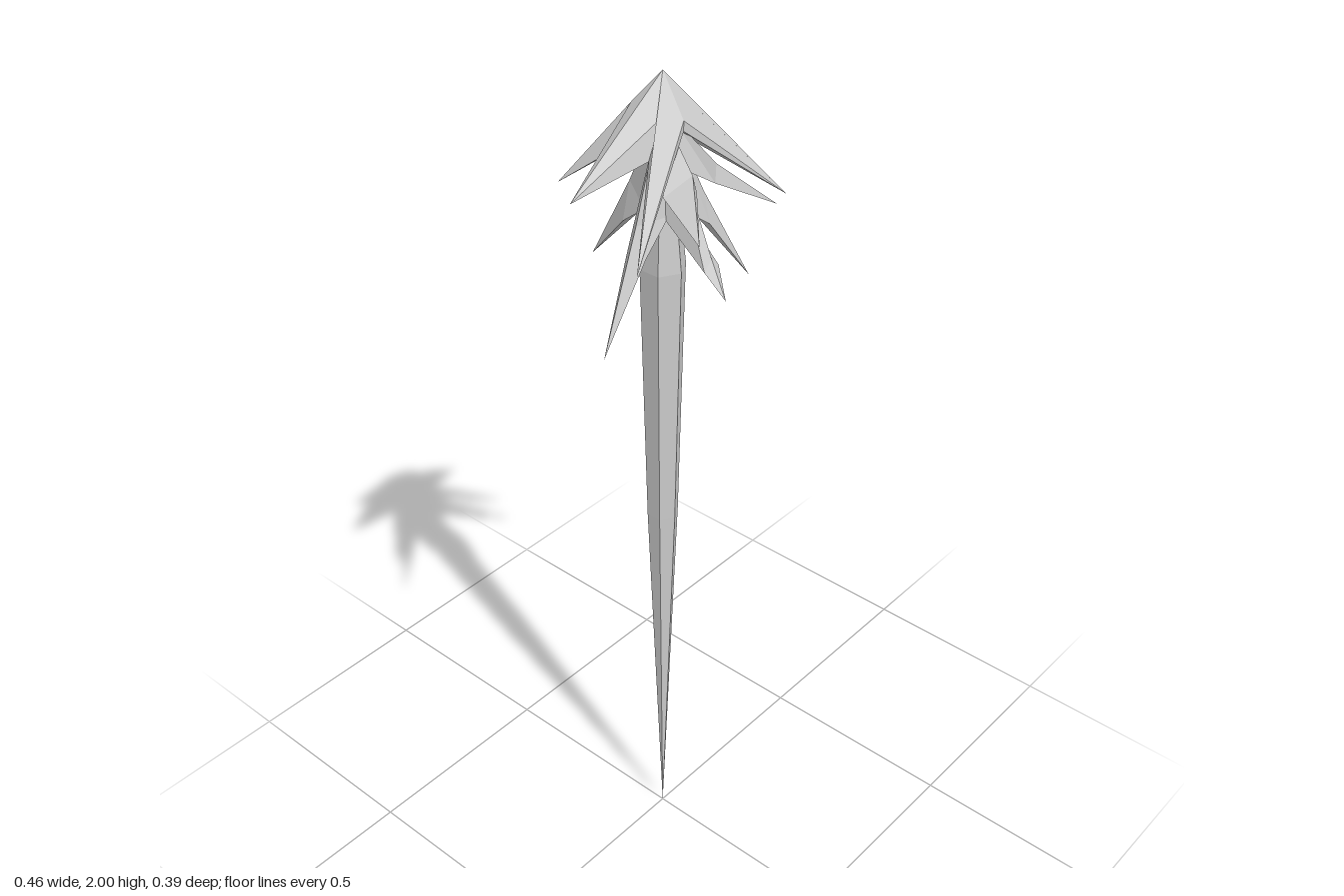
import * as THREE from 'three';

const material = new THREE.MeshStandardMaterial({ color: 0xcccccc, flatShading: true, side: THREE.DoubleSide });

function facetedMesh(name, triangles) {
  const g = new THREE.BufferGeometry().setFromPoints(triangles);
  g.computeVertexNormals();
  const mesh = new THREE.Mesh(g, material);
  mesh.name = name;
  return mesh;
}

const V = (x, y, z) => new THREE.Vector3(x, y, z);

// Six-pointed drooping cap: apex, ring of tips and notches, hollow underside
function crownCap() {
  // notch, tip, notch, tip ... from front to back along +x
  const half = [
    V(0, 1.912, 0.053), V(0.228, 1.70, 0.135), V(0.045, 1.927, 0.035), V(0.222, 1.79, -0.04),
    V(0.045, 1.94, -0.04), V(0.127, 1.76, -0.166), V(0, 1.917, -0.057),
  ];
  const lowHalf = half.map((p) => p.clone());
  lowHalf[0].set(0, 1.89, 0.053);
  lowHalf[2].set(0.08, 1.85, 0.034);
  lowHalf[4].set(0.07, 1.86, -0.04);
  lowHalf[6].set(0, 1.89, -0.057);
  const mirror = (list) => [...list, ...list.slice(1, -1).reverse().map((p) => V(-p.x, p.y, p.z))];
  const top = mirror(half), low = mirror(lowHalf);
  const apex = V(0, 2, 0), under = V(0, 1.89, 0);
  const tris = [];
  top.forEach((p, i) => {
    const j = (i + 1) % top.length;
    tris.push(apex, p, top[j]);
    tris.push(under, low[j], low[i]);
    // steep flank beside each notch
    if (i % 2 === 0) tris.push(p, low[i], top[j]);
    else tris.push(p, low[j], top[j]);
  });
  return facetedMesh('crownCap', tris);
}

// Drooping leaf spike: triangular sections at the root and the bend, then a tip
function leafSpike(name, tip, { rootTop, rootLow, bend, bendLow, rootWidth, bendWidth, skew = 0 }) {
  const r = Math.hypot(tip.x, tip.z);
  const out = V(tip.x / r, 0, tip.z / r);
  const side = V(out.z, 0, -out.x);
  const at = (d, y, s) => out.clone().multiplyScalar(d).addScaledVector(side, s).setY(y);
  const ridgeY = THREE.MathUtils.lerp(rootTop, tip.y, bend);
  const root = [at(0.015, rootTop, 0), at(0.025, rootLow, -rootWidth), at(0.025, rootLow, rootWidth)];
  const mid = [at(r * bend, ridgeY, skew), at(r * bend, bendLow, -bendWidth), at(r * bend, bendLow, bendWidth)];
  const tris = [root[0], root[2], root[1]];
  for (let i = 0; i < 3; i++) {
    const j = (i + 1) % 3;
    tris.push(root[i], root[j], mid[j], root[i], mid[j], mid[i]);
    tris.push(mid[i], mid[j], tip);
  }
  return facetedMesh(name, tris);
}

export function createModel() {
  const model = new THREE.Group();
  model.name = 'spikyTree';

  // Six-sided tapering stem ending in a point
  const profile = [[0, 0], [0.036, 0.95], [0.05, 1.58], [0.036, 1.72], [0, 1.9]].map(([x, y]) => new THREE.Vector2(x, y));
  const stem = new THREE.Mesh(new THREE.LatheGeometry(profile, 6), material);
  stem.name = 'stem';
  model.add(stem, crownCap());

  // Middle pair of leaves, their ridges leaning inwards
  const middle = { rootTop: 1.91, rootLow: 1.82, bend: 0.48, bendLow: 1.79, rootWidth: 0.03, bendWidth: 0.034 };
  for (const s of [1, -1]) {
    model.add(leafSpike('middleLeaf', V(0.118 * s, 1.74, 0.195), { ...middle, skew: -0.025 * s }));
  }

  // Lower whorl of four leaves
  const lower = { rootTop: 1.91, rootLow: 1.71, bend: 0.45, bendLow: 1.65, rootWidth: 0.028, bendWidth: 0.022 };
  for (const s of [1, -1]) model.add(leafSpike('lowerSideLeaf', V(0.228 * s, 1.48, 0.045), lower));
  model.add(leafSpike('lowerFrontLeaf', V(0, 1.56, 0.167), { ...lower, bend: 0.77, bendLow: 1.62 }));
  model.add(leafSpike('lowerBackLeaf', V(0, 1.54, -0.197), { ...lower, bendLow: 1.66 }));

  return model;
}
